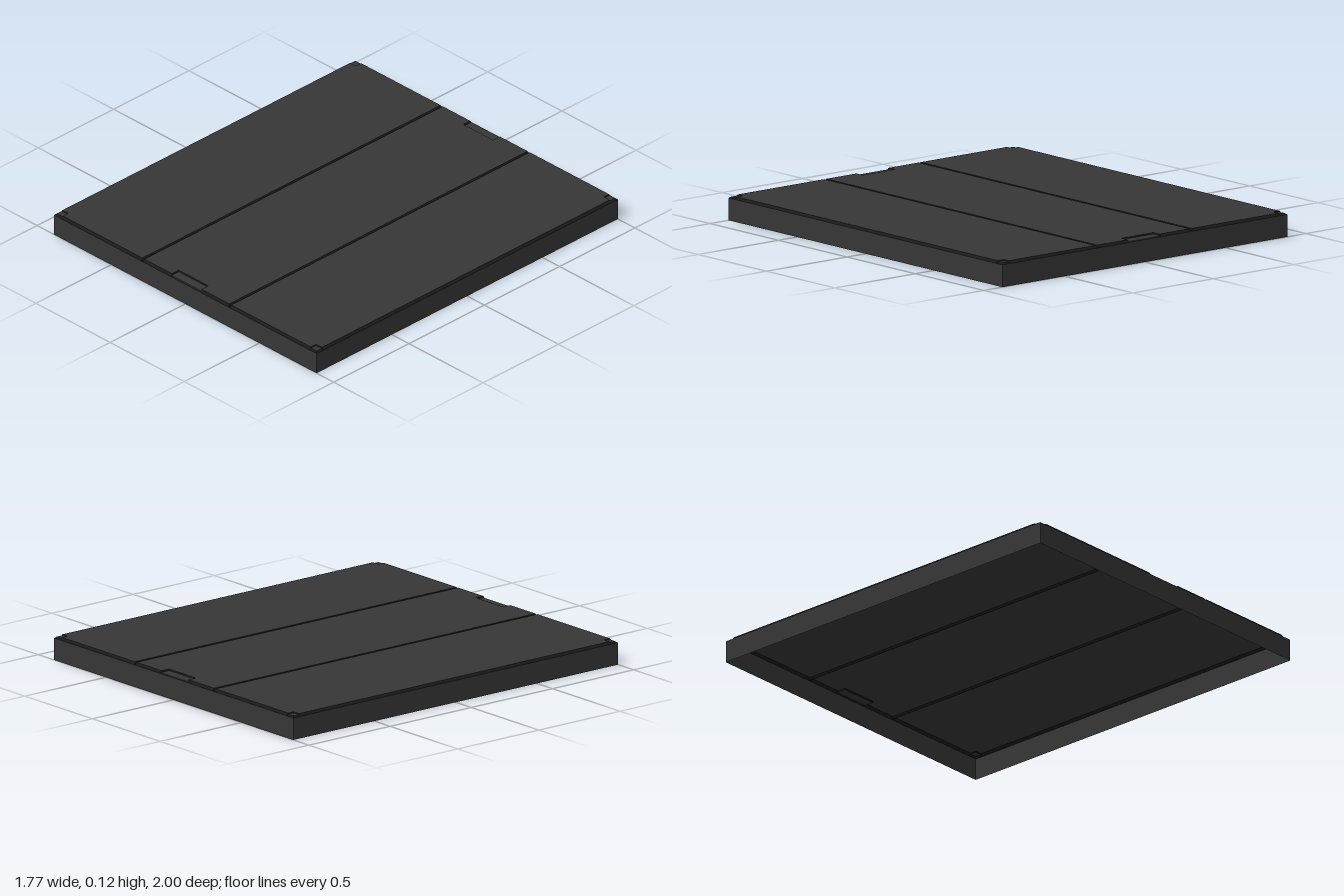
import * as THREE from 'three';

const W = 0.885, D = 1, H = 0.12, EDGE = 0.012;

// Height of the lid surface: bevelled rim, two long grooves, shallow grip and corner recesses
function lidHeight(x, z) {
  const ax = Math.abs(x), az = Math.abs(z);
  let drop = 0;
  if (Math.abs(ax - 0.293) < 0.001) drop = 0.01;
  if (ax < 0.099 && az > 0.946) drop = 0.007;
  if (ax > 0.837 && az > 0.956) drop = 0.005;
  if (ax > W - 0.001 || az > D - 0.001) drop = EDGE;
  return H - drop;
}

const mirrored = (list) => [...list.map((v) => -v).reverse(), ...list];

function quadGeometry(quads) {
  const points = [];
  for (const [a, b, c, d] of quads) points.push(...a, ...b, ...c, ...a, ...c, ...d);
  const geometry = new THREE.BufferGeometry();
  geometry.setAttribute('position', new THREE.Float32BufferAttribute(points, 3));
  geometry.computeVertexNormals();
  return geometry;
}

export function createModel() {
  const group = new THREE.Group();
  const bodyMat = new THREE.MeshStandardMaterial({ color: 0x363636, flatShading: true, side: THREE.DoubleSide });
  const trimMat = new THREE.MeshStandardMaterial({ color: 0x1a1a1a, flatShading: true, side: THREE.DoubleSide });

  const add = (name, geometry, material) => {
    const mesh = new THREE.Mesh(geometry, material);
    mesh.name = name;
    group.add(mesh);
    return mesh;
  };

  // Lid: flat cells form the panels, sloping cells form the bevels, grooves and recess edges
  const xs = mirrored([0.098, 0.1, 0.286, 0.293, 0.3, 0.836, 0.838, W - 0.01, W]);
  const zs = mirrored([0.945, 0.947, 0.955, 0.957, D - 0.01, D]);
  const flat = [], sloped = [];
  const point = (x, z) => [x, lidHeight(x, z), z];
  for (let i = 0; i < xs.length - 1; i++) {
    for (let j = 0; j < zs.length - 1; j++) {
      const quad = [
        point(xs[i], zs[j]), point(xs[i], zs[j + 1]),
        point(xs[i + 1], zs[j + 1]), point(xs[i + 1], zs[j]),
      ];
      const ys = quad.map((p) => p[1]);
      (Math.max(...ys) - Math.min(...ys) > 1e-4 ? sloped : flat).push(quad);
    }
  }
  add('topPanels', quadGeometry(flat), bodyMat);
  add('bevelsAndGrooves', quadGeometry(sloped), trimMat);

  // Thin side walls, open underneath
  const wallHeight = H - EDGE;
  ['frontWall', 'leftWall', 'backWall', 'rightWall'].forEach((name, i) => {
    const alongX = i % 2 === 0;
    const wall = add(name, new THREE.PlaneGeometry(alongX ? 2 * W : 2 * D, wallHeight), bodyMat);
    const angle = (i * Math.PI) / 2;
    wall.rotation.y = angle;
    wall.position.set(Math.sin(angle) * W, wallHeight / 2, Math.cos(angle) * D);
  });

  return group;
}
